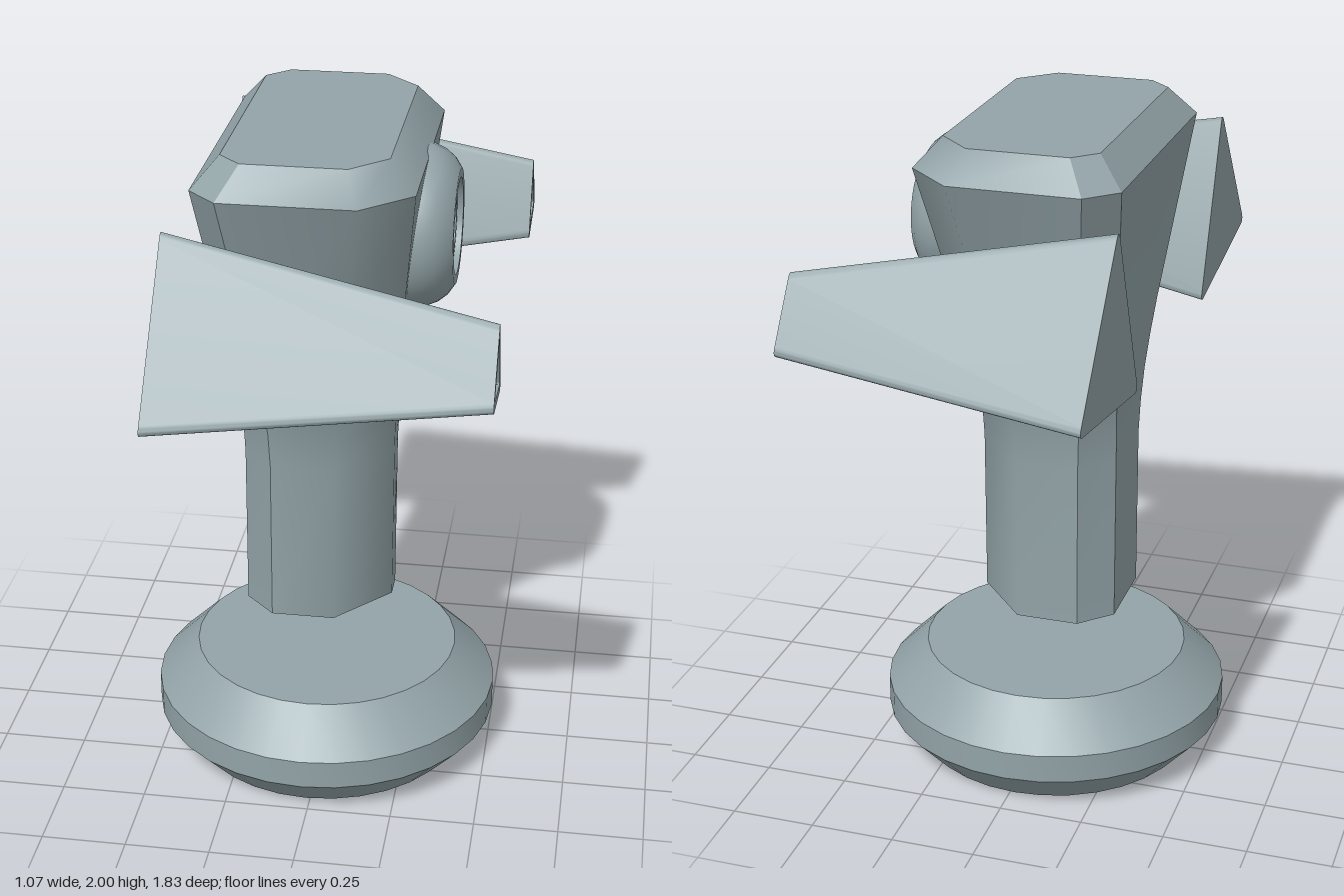
import * as THREE from 'three';
import { toCreasedNormals } from 'three/addons/utils/BufferGeometryUtils.js';

const V = (x, y, z) => new THREE.Vector3(x, y, z);
const grey = new THREE.MeshStandardMaterial({ color: 0x92a3a7 });
const amber = new THREE.MeshStandardMaterial({ color: 0xe89a06 });
const lensOrange = new THREE.MeshStandardMaterial({ color: 0xffb338 });

function mesh(name, geometry, material = grey) {
  const m = new THREE.Mesh(geometry, material);
  m.name = name;
  return m;
}

// Triangles as a geometry whose edges stay sharp above the crease angle
function fromTriangles(points, crease) {
  const g = new THREE.BufferGeometry().setFromPoints(points);
  return toCreasedNormals(g, crease);
}

// Skin a row of equal-length outlines, each counter-clockwise seen from the end of the row
function loft(rows, crease, closed = true) {
  const pts = [];
  const n = rows[0].length;
  for (let k = 0; k + 1 < rows.length; k++) {
    const a = rows[k], b = rows[k + 1];
    for (let i = 0; i < (closed ? n : n - 1); i++) {
      const j = (i + 1) % n;
      pts.push(a[i], a[j], b[j], a[i], b[j], b[i]);
    }
  }
  return fromTriangles(pts, crease);
}

// Flat lid that faces the side from which the loop runs counter-clockwise
function lid(loop) {
  const c = loop.reduce((s, p) => s.add(p), V(0, 0, 0)).divideScalar(loop.length);
  return fromTriangles(loop.flatMap((p, i) => [c, p, loop[(i + 1) % loop.length]]), 0.5);
}

function lathe(points, segments) {
  const g = new THREE.LatheGeometry(points.map(([r, y]) => new THREE.Vector2(r, y)), segments);
  return toCreasedNormals(g, 0.5);
}

// Octagon with separate front and back chamfers (cx along x, cz along z)
function octagon(y, back, front, half, cBack, cxFront, czFront) {
  return [
    V(front, y, half - czFront), V(front, y, -half + czFront),
    V(front - cxFront, y, -half), V(back + cBack, y, -half),
    V(back, y, -half + cBack), V(back, y, half - cBack),
    V(back + cBack, y, half), V(front - cxFront, y, half),
  ];
}

// Triangle in the plane x with softened corners, scaled about its centre
function roundedTriangle(x, corners, scale, round) {
  const c = corners.reduce((s, [z, y]) => s.add(V(0, y, z)), V(0, 0, 0)).divideScalar(3);
  const p = corners.map(([z, y]) => V(0, y, z).sub(c).multiplyScalar(scale).add(c));
  return p.flatMap((v, i) => {
    const toward = (q) => q.clone().sub(v).setLength(round).add(v);
    const bend = new THREE.QuadraticBezierCurve3(toward(p[(i + 2) % 3]), v, toward(p[(i + 1) % 3]));
    return bend.getPoints(8).map((q) => V(x, q.y, q.z));
  });
}

function createArm(side) {
  const arm = new THREE.Group();
  arm.name = side > 0 ? 'leftArm' : 'rightArm';
  const flip = (loop) => (side > 0 ? loop : loop.map((p) => V(p.x, p.y, -p.z)).reverse());
  const big = [[0.578, 1.865], [0.92, 1.43], [0.37, 1.343]];
  const small = [[0.633, 1.682], [0.768, 1.488], [0.547, 1.458]];
  const back = flip(roundedTriangle(-0.365, big, 1.03, 0.035));
  const pit = flip(roundedTriangle(0.5, small, 0.71, 0.01));
  arm.add(mesh('armShell', loft([
    back,
    flip(roundedTriangle(0.533, small, 1.09, 0.035)),
    flip(roundedTriangle(0.533, small, 0.73, 0.01)),
    pit,
  ], 0.6)));
  arm.add(mesh('armBack', lid([...back].reverse())));
  arm.add(mesh('armLight', lid(pit), amber));
  return arm;
}

// Shell of octagons: softly shaded front and sides, crisp back
function addShell(group, name, rows) {
  const pick = (...ids) => rows.map((r) => ids.map((i) => r[i]));
  group.add(mesh(name + 'Front', loft(pick(6, 7, 0, 1, 2, 3), 0.9, false)));
  group.add(mesh(name + 'Back', loft(pick(3, 4, 5, 6), 0.5, false)));
}

function createBody() {
  const body = new THREE.Group();
  body.name = 'body';
  const column = [
    octagon(0.5, -0.24, 0.192, 0.215, 0.09, 0.155, 0.175),
    octagon(1.0, -0.24, 0.194, 0.215, 0.09, 0.155, 0.175),
    octagon(1.1, -0.243, 0.197, 0.223, 0.089, 0.155, 0.174),
    octagon(1.2, -0.248, 0.203, 0.242, 0.088, 0.154, 0.171),
    octagon(1.3, -0.256, 0.21, 0.271, 0.087, 0.152, 0.166),
    octagon(1.4, -0.265, 0.22, 0.308, 0.086, 0.15, 0.161),
    octagon(1.915, -0.325, 0.28, 0.496, 0.085, 0.14, 0.132),
  ];
  const rim = column[column.length - 1];
  const top = octagon(2.0, -0.25, 0.205, 0.42, 0.065, 0.1, 0.1);
  addShell(body, 'column', column);
  addShell(body, 'headBevel', [rim, top]);
  body.add(mesh('headTop', lid(top)));
  body.add(mesh('columnBottom', lid([...column[0]].reverse())));
  return body;
}

export function createModel() {
  const model = new THREE.Group();
  model.name = 'hoveringRobot';

  // Floating base with a recessed light underneath
  const base = new THREE.Group();
  base.name = 'base';
  base.position.set(-0.013, 0, 0.02);
  base.add(mesh('baseShell', lathe([
    [0.355, 0.03], [0.36, 0], [0.425, 0], [0.523, 0.11], [0.523, 0.197], [0.4, 0.322], [0, 0.322],
  ], 32)));
  const underLight = mesh('baseLight', new THREE.CircleGeometry(0.357, 32), amber);
  underLight.rotation.x = Math.PI / 2;
  underLight.position.y = 0.025;
  base.add(underLight);
  model.add(base);

  // Chamfered column flaring into a wide bevelled head
  model.add(createBody());

  // Round eye on the +x side, with a thin glowing groove and a recessed lens
  const eye = new THREE.Group();
  eye.name = 'eye';
  eye.position.set(0, 1.694, -0.006);
  eye.rotation.z = -Math.PI / 2;
  eye.add(mesh('eyeHousing', lathe([
    [0.14, 0.12], [0.19, 0.16], [0.222, 0.205], [0.234, 0.25], [0.231, 0.283], [0.217, 0.315],
    [0.195, 0.342], [0.165, 0.362], [0.138, 0.362], [0.135, 0.33],
  ], 40)));
  eye.add(mesh('eyeGlowRing', lathe([[0.136, 0.335], [0.125, 0.335]], 40), amber));
  eye.add(mesh('eyeInnerRing', lathe([
    [0.129, 0.33], [0.129, 0.345], [0.112, 0.345], [0.106, 0.315], [0.09, 0.315], [0.086, 0.285],
  ], 40)));
  eye.add(mesh('eyeLens', lathe([[0.09, 0.29], [0, 0.29]], 40), lensOrange));
  model.add(eye);

  // Pair of tapered triangular arms
  for (const side of [1, -1]) model.add(createArm(side));

  return model;
}
